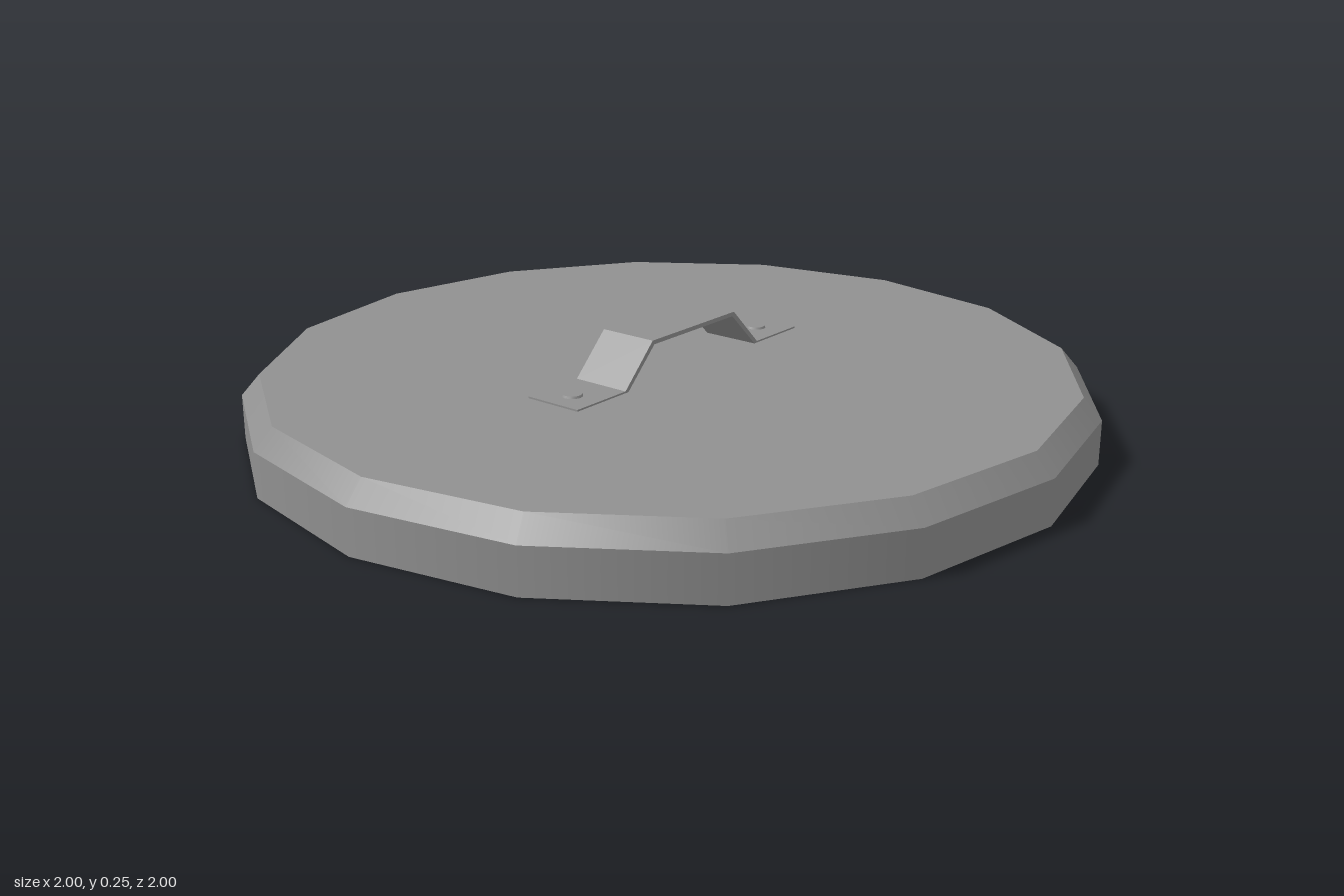
import * as THREE from 'three';

export function createModel() {
  const model = new THREE.Group();
  const metal = new THREE.MeshStandardMaterial({ color: 0x909090 });
  metal.name = 'grey metal';

  const add = (name, geometry, parent = model) => {
    const mesh = new THREE.Mesh(geometry, metal);
    mesh.name = name;
    parent.add(mesh);
    return mesh;
  };

  // Hollow sixteen-sided lid: one lathe band per profile edge keeps the rims crisp
  const lid = new THREE.Group();
  lid.name = 'lid';
  model.add(lid);
  const profile = [
    [0, 0.15], [0.92, 0.15], [0.945, 0.095], [0.945, 0],
    [1, 0], [1, 0.105], [0.957, 0.155], [0, 0.155],
  ].map(([r, y]) => new THREE.Vector2(r, y));
  const bands = ['lidUnderside', 'innerBevel', 'innerWall', 'bottomRim', 'outerWall', 'outerBevel', 'lidTop'];
  bands.forEach((name, i) => {
    add(name, new THREE.LatheGeometry([profile[i], profile[i + 1]], 16), lid);
  });

  // Bent strap handle running front to back, drawn as (z, y) and extruded across x
  const width = 0.146;
  const upper = [[0.41, 0.159], [0.249, 0.159], [0.153, 0.255]];
  const lower = [[0.147, 0.245], [0.245, 0.149], [0.41, 0.149]];
  const flip = (points) => points.map(([z, y]) => [-z, y]).reverse();
  const outline = [...upper, ...flip(upper), ...flip(lower), ...lower];
  const shape = new THREE.Shape(outline.map(([z, y]) => new THREE.Vector2(z, y)));
  const strap = new THREE.ExtrudeGeometry(shape, { depth: width, bevelEnabled: false });
  strap.translate(0, 0, -width / 2);
  strap.rotateY(-Math.PI / 2);
  add('handle', strap);

  // Rivet on each handle foot
  for (const side of [1, -1]) {
    const rivet = add(side > 0 ? 'frontRivet' : 'backRivet', new THREE.CylinderGeometry(0.022, 0.025, 0.006, 12));
    rivet.position.set(0, 0.161, side * 0.345);
  }

  return model;
}
